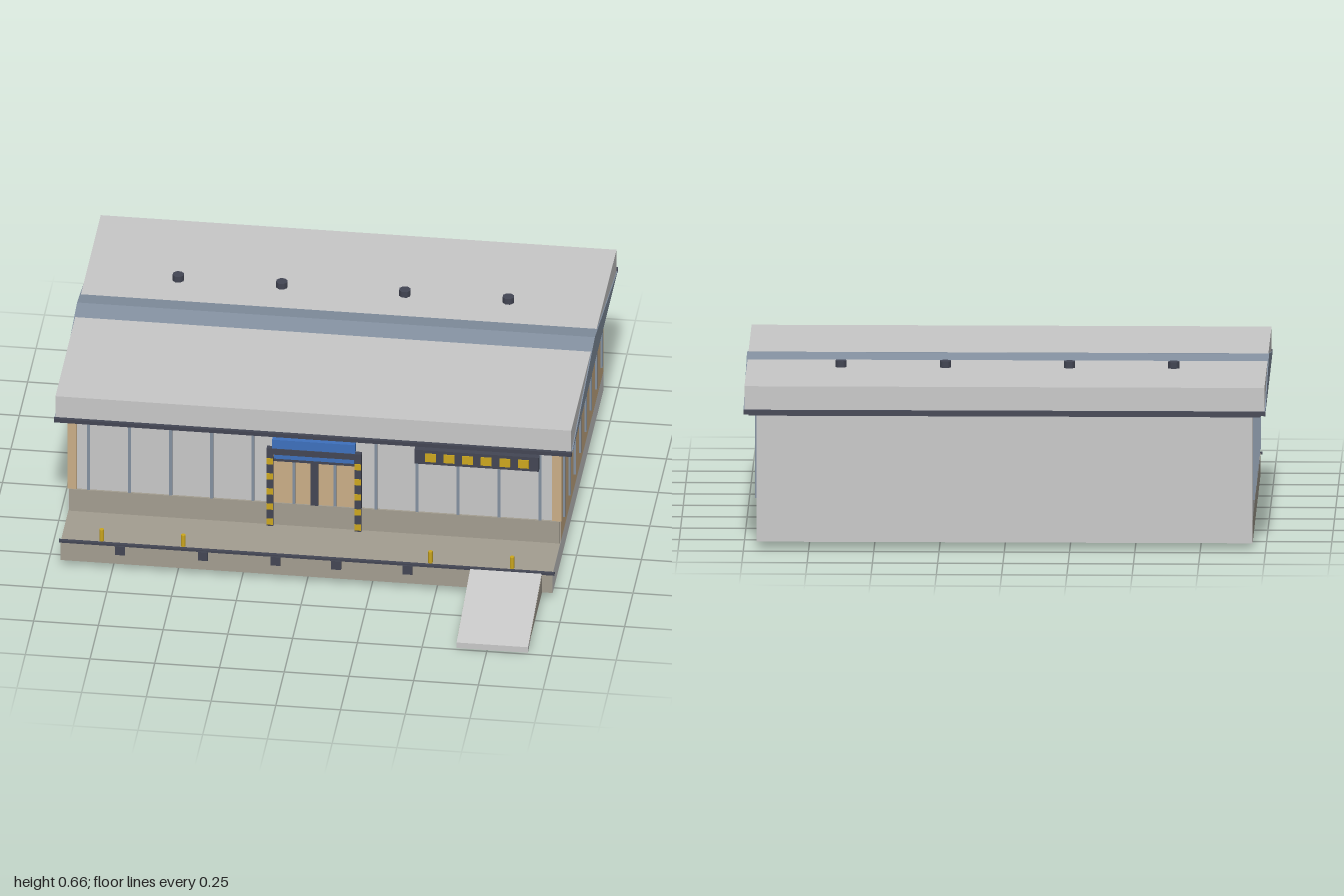
import * as THREE from 'three';

const mat = (name, color) => {
  const m = new THREE.MeshStandardMaterial({ color });
  m.name = name;
  return m;
};

export function createModel() {
  const grey = mat('pale grey', 0xc8c8c8);
  const concrete = mat('concrete', 0xa39d90);
  const tan = mat('tan', 0xcaae87);
  const slate = mat('slate', 0x8390a0);
  const dark = mat('charcoal', 0x434654);
  const blue = mat('blue', 0x3d70bd);
  const yellow = mat('yellow', 0xcca71e);

  const root = new THREE.Group();
  root.name = 'warehouse';

  // Box given by its limits on each axis
  const box = (name, m, [x0, x1], [y0, y1], [z0, z1]) => {
    const mesh = new THREE.Mesh(new THREE.BoxGeometry(x1 - x0, y1 - y0, z1 - z0), m);
    mesh.position.set((x0 + x1) / 2, (y0 + y1) / 2, (z0 + z1) / 2);
    mesh.name = name;
    root.add(mesh);
    return mesh;
  };
  const around = (c, w) => [c - w / 2, c + w / 2];

  // Prism along x from a [z, y] profile
  const prism = (name, m, profile, [x0, x1]) => {
    const shape = new THREE.Shape(profile.map(([z, y]) => new THREE.Vector2(-z, y)));
    const geo = new THREE.ExtrudeGeometry(shape, { depth: x1 - x0, bevelEnabled: false });
    geo.rotateY(Math.PI / 2).translate(x0, 0, 0);
    const mesh = new THREE.Mesh(geo, m);
    mesh.name = name;
    root.add(mesh);
  };

  const post = (name, m, r, x, [y0, y1], z) => {
    const mesh = new THREE.Mesh(new THREE.CylinderGeometry(r, r, y1 - y0, 8), m);
    mesh.geometry.rotateY(Math.PI / 8);
    mesh.position.set(x, (y0 + y1) / 2, z);
    mesh.name = name;
    root.add(mesh);
  };

  // Loading platform and hall
  box('platform', [grey, concrete, concrete, grey, concrete, grey], [-0.95, 0.95], [0.025, 0.11], [-0.93, 0.58]);
  box('hall', [tan, grey, grey, grey, grey, grey], [-0.95, 0.95], [0.11, 0.525], [-0.93, 0.345]);
  box('plinth', concrete, [-0.948, 0.948], [0.11, 0.207], [0.335, 0.353]);
  for (const s of [-1, 1]) box('cornerPanel', tan, around(s * 0.936, 0.036), [0.207, 0.52], [0.325, 0.35]);

  // Wall ribs on the front and both sides
  for (let i = 0; i < 12; i++) {
    box('frontRib', slate, around(-0.872 + i * 0.1585, 0.011), [0.19, 0.52], [0.34, 0.352]);
  }
  for (let i = 0; i < 8; i++) {
    for (const s of [-1, 1]) {
      box('sideRib', slate, around(s * 0.95, 0.016), [0.18, 0.52], around(0.264 - i * 0.1585, 0.012));
    }
  }

  // Roof: flat cladding with the gable ridge rising through it
  box('soffit', dark, [-0.98, 0.98], [0.522, 0.538], [-0.97, 0.385]);
  box('roofCladding', grey, [-0.996, 0.996], [0.538, 0.636], [-0.968, 0.382]);
  prism('gableRoof', slate, [[0.395, 0.537], [-0.293, 0.65], [-0.98, 0.537]], [-1, 1]);
  for (const z of [0.394, -0.982]) box('gutter', dark, [-1, 1], [0.53, 0.546], around(z, 0.014));
  for (const x of [-0.64, -0.24, 0.235, 0.635]) post('roofVent', dark, 0.023, x, [0.63, 0.661], -0.533);

  // Entrance door with striped frame and blue canopy
  box('door', tan, [-0.16, 0.16], [0.207, 0.42], [0.34, 0.348]);
  box('doorMullion', dark, [-0.015, 0.015], [0.207, 0.4], [0.345, 0.355]);
  for (const s of [-1, 1]) {
    box('doorPost', dark, around(s * 0.17, 0.025), [0.11, 0.455], [0.345, 0.366]);
    for (let i = 0; i < 5; i++) {
      box('warningMark', yellow, around(s * 0.17, 0.025), around(0.13 + i * 0.0675, 0.026), [0.364, 0.369]);
    }
  }
  box('lintel', dark, [-0.183, 0.183], [0.43, 0.456], [0.345, 0.366]);
  box('doorHeader', dark, [-0.16, 0.16], [0.396, 0.41], [0.345, 0.357]);
  box('doorBlind', blue, [-0.155, 0.155], [0.41, 0.432], [0.345, 0.362]);
  box('canopy', blue, [-0.16, 0.16], [0.463, 0.502], [0.345, 0.375]);

  // Sign board with blank squares
  box('signBoard', dark, [0.39, 0.87], [0.44, 0.502], [0.345, 0.378]);
  for (let i = 0; i < 6; i++) {
    box('signSquare', yellow, around(0.452 + i * 0.0718, 0.042), around(0.471, 0.036), [0.376, 0.382]);
  }

  // Dock edge, bumpers and bollards
  box('dockEdge', dark, [-0.957, 0.957], [0.105, 0.114], [0.57, 0.584]);
  for (const x of [-0.72, -0.4, -0.12, 0.115, 0.39]) box('bumper', dark, around(x, 0.038), [0.07, 0.108], [0.575, 0.59]);
  for (const x of [-0.795, -0.48, 0.475, 0.79]) post('bollard', yellow, 0.009, x, [0.11, 0.16], 0.555);

  // Ramp: concrete wedge under a sloping deck
  prism('rampWedge', concrete, [[0.58, 0.105], [0.58, 0.025], [0.885, 0.025], [0.96, 0.028]], [0.631, 0.909]);
  prism('rampDeck', grey, [[0.58, 0.111], [0.58, 0.086], [0.99, 0], [0.99, 0.025]], [0.632, 0.908]);

  return root;
}
